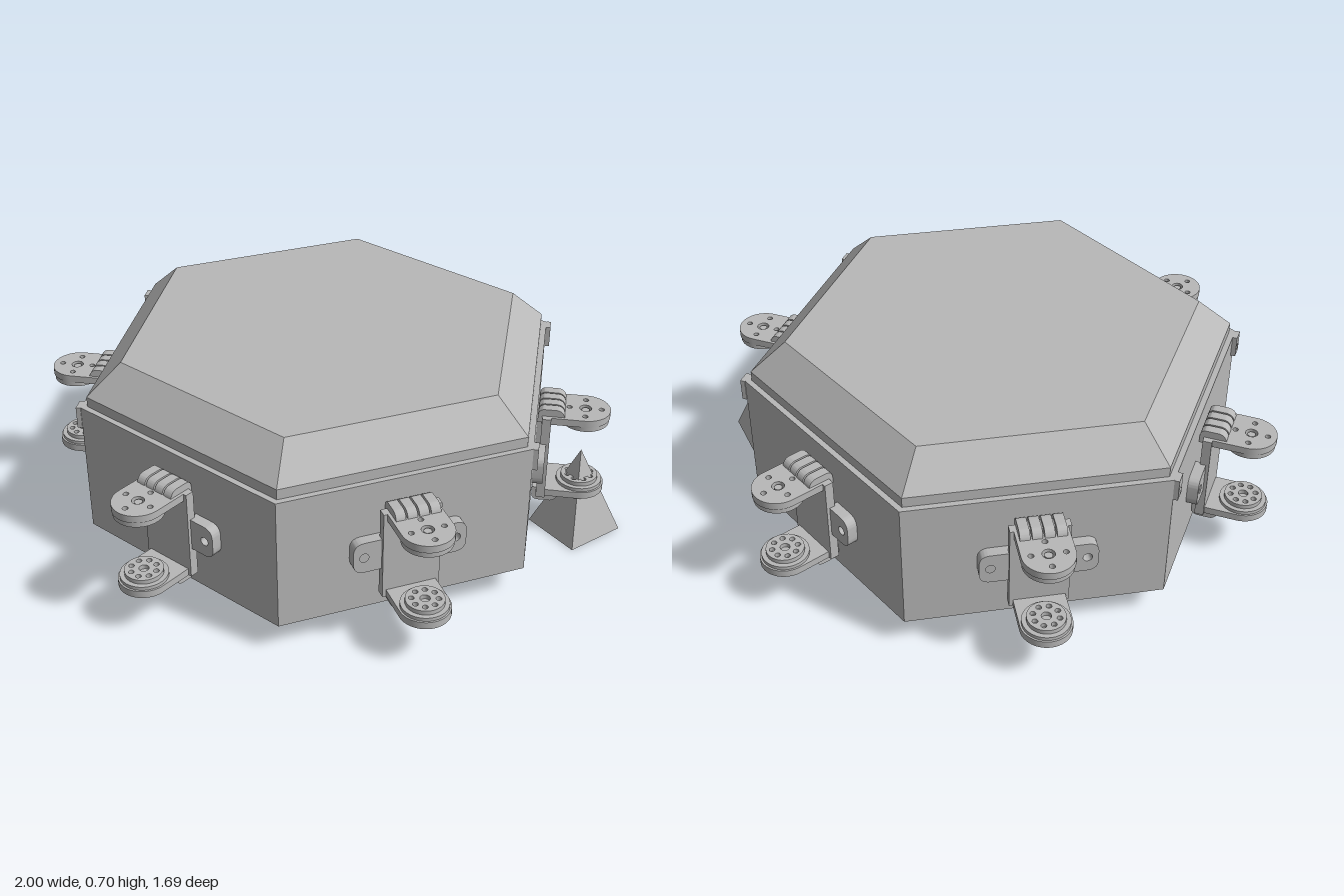
import * as THREE from 'three';
import { toCreasedNormals } from 'three/addons/utils/BufferGeometryUtils.js';

const CX = -0.0375;      // body axis
const R = 0.8365;        // hexagon corner radius
const A = R * Math.cos(Math.PI / 6); // distance to each flat side
const MID = 0.32;        // height of the bracket centre
const PIVOT = 0.8805;    // wheel centre, measured out from the body axis

export function createModel() {
  const grey = new THREE.MeshStandardMaterial({ color: 0xb8b8b8 });
  const model = new THREE.Group();

  const add = (parent, name, geo, x = 0, y = 0, z = 0) => {
    const m = new THREE.Mesh(geo, grey);
    m.name = name;
    m.position.set(x, y, z);
    parent.add(m);
    return m;
  };
  const flat = (geo) => {
    const g = geo.toNonIndexed();
    g.computeVertexNormals();
    return g;
  };
  const extrude = (shape, depth) => toCreasedNormals(
    new THREE.ExtrudeGeometry(shape, { depth, bevelEnabled: false, curveSegments: 12 }), 0.5);
  const standing = (shape, depth) => extrude(shape, depth).rotateY(Math.PI / 2);  // thickness along +x
  const lying = (shape, depth) => extrude(shape, depth).rotateX(-Math.PI / 2);    // thickness along +y
  const punch = (shape, x, y, r) => {
    shape.holes.push(new THREE.Path().absarc(x, y, r, 0, Math.PI * 2, true));
  };
  const rect = (x0, y0, x1, y1) => new THREE.Shape([
    new THREE.Vector2(x0, y0), new THREE.Vector2(x1, y0),
    new THREE.Vector2(x1, y1), new THREE.Vector2(x0, y1)]);
  const hex = (top, bottom, h, open = false) =>
    flat(new THREE.CylinderGeometry(top, bottom, h, 6, 1, open));

  // Floor, rim and bevelled lid of the hollow housing
  add(model, 'floor', hex(R, R, 0.012), CX, 0.111, 0);
  add(model, 'rim', hex(R, R, 0.01), CX, 0.56, 0);
  add(model, 'lidEdge', hex(0.8147, 0.8147, 0.035), CX, 0.5825, 0);
  add(model, 'lidBevel', hex(0.6946, 0.8147, 0.105), CX, 0.6525, 0);

  // Cross-shaped bracket pads with bolt holes
  const padShape = (s) => {
    const p = new THREE.Shape();
    p.moveTo(s * 0.085, 0.268);
    p.lineTo(s * 0.15, 0.268);
    p.quadraticCurveTo(s * 0.187, 0.268, s * 0.187, 0.305);
    p.lineTo(s * 0.187, 0.341);
    p.quadraticCurveTo(s * 0.187, 0.378, s * 0.15, 0.378);
    p.lineTo(s * 0.085, 0.378);
    punch(p, s * 0.152, 0.323, 0.015);
    return p;
  };

  // Round-ended arm plate
  const paddle = new THREE.Shape();
  paddle.moveTo(0.74, -0.083);
  paddle.lineTo(PIVOT, -0.083);
  paddle.absarc(PIVOT, 0, 0.083, -Math.PI / 2, Math.PI / 2, false);
  paddle.lineTo(0.74, 0.083);
  punch(paddle, PIVOT, 0, 0.02);
  for (let i = 0; i < 4; i++) {
    const a = i * Math.PI / 2;
    punch(paddle, PIVOT + Math.cos(a) * 0.053, Math.sin(a) * 0.053, 0.009);
  }
  const paddleGeo = lying(paddle, 0.025);

  // Curved hinge rib, profile in the radial plane
  const rib = new THREE.Shape();
  rib.moveTo(0.726, 0.13);
  rib.lineTo(0.772, 0.13);
  rib.lineTo(0.815, 0.15);
  rib.quadraticCurveTo(0.81, 0.18, 0.785, 0.18);
  rib.lineTo(0.75, 0.18);
  rib.quadraticCurveTo(0.726, 0.18, 0.726, 0.155);
  const ribGeo = extrude(rib, 0.032);

  // Perforated lower wheel
  const wheel = new THREE.Shape().absarc(0, 0, 0.062, 0, Math.PI * 2, false);
  for (let i = 0; i < 8; i++) {
    const a = (i + 0.5) * Math.PI / 4;
    punch(wheel, Math.cos(a) * 0.042, Math.sin(a) * 0.042, 0.009);
  }
  punch(wheel, 0, 0, 0.016);
  const wheelGeo = lying(wheel, 0.016);

  const addArm = (parent, name, lower) => {
    const arm = new THREE.Group();
    arm.name = name;
    arm.position.y = MID;
    if (lower) arm.rotation.x = Math.PI;
    add(arm, 'armPlate', paddleGeo, 0, 0.13, 0);
    for (let i = 0; i < 4; i++) {
      add(arm, 'hingeRib', ribGeo, 0, 0, -0.016 + (i - 1.5) * 0.038);
    }
    add(arm, 'hingeBar', new THREE.BoxGeometry(0.04, 0.03, 0.146), 0.765, 0.153, 0);
    if (lower) {
      add(arm, 'wheelBase', new THREE.CylinderGeometry(0.077, 0.077, 0.012, 32), PIVOT, 0.124, 0);
      add(arm, 'wheel', wheelGeo, PIVOT, 0.103, 0);
    } else {
      add(arm, 'disc', new THREE.CylinderGeometry(0.08, 0.08, 0.018, 32), PIVOT, 0.121, 0);
      add(arm, 'screwHead', new THREE.CylinderGeometry(0.013, 0.013, 0.02, 12), PIVOT, 0.14, 0);
      add(arm, 'pin', new THREE.CylinderGeometry(0.008, 0.008, 0.035, 12), PIVOT, 0.095, 0);
    }
    parent.add(arm);
  };

  // Six sides, each with a wall panel and a bracket
  for (let i = 0; i < 6; i++) {
    const side = new THREE.Group();
    side.name = 'side' + (i + 1);
    side.position.x = CX;
    side.rotation.y = i * Math.PI / 3;
    model.add(side);

    const wall = rect(-R / 2, 0.105, R / 2, 0.565);
    for (const s of [-1, 1]) {
      punch(wall, s * 0.152, 0.323, 0.015);
      if (i % 3 === 0) punch(wall, s * 0.4, 0.515, 0.012);
    }
    add(side, 'wall', standing(wall, 0.012), A - 0.012, 0, 0);

    for (const s of [-1, 1]) {
      add(side, 'bracketPad', standing(padShape(s), 0.036), A, 0, 0);
      // Latch tabs on the two end sides only
      if (i % 3 === 0) {
        const tab = rect(s * 0.378, 0.49, s * 0.421, 0.565);
        punch(tab, s * 0.4, 0.515, 0.012);
        add(side, 'latchTab', standing(tab, 0.016), A, 0, 0);
      }
    }
    add(side, 'bracketPlate', new THREE.BoxGeometry(0.03, 0.31, 0.19), 0.756, MID, 0);
    addArm(side, 'upperArm', false);
    addArm(side, 'lowerArm', true);
  }

  // Pyramid below one bracket
  add(model, 'pyramid', flat(new THREE.ConeGeometry(0.155, 0.31, 4)), PIVOT + CX, 0.155, 0);
  return model;
}
